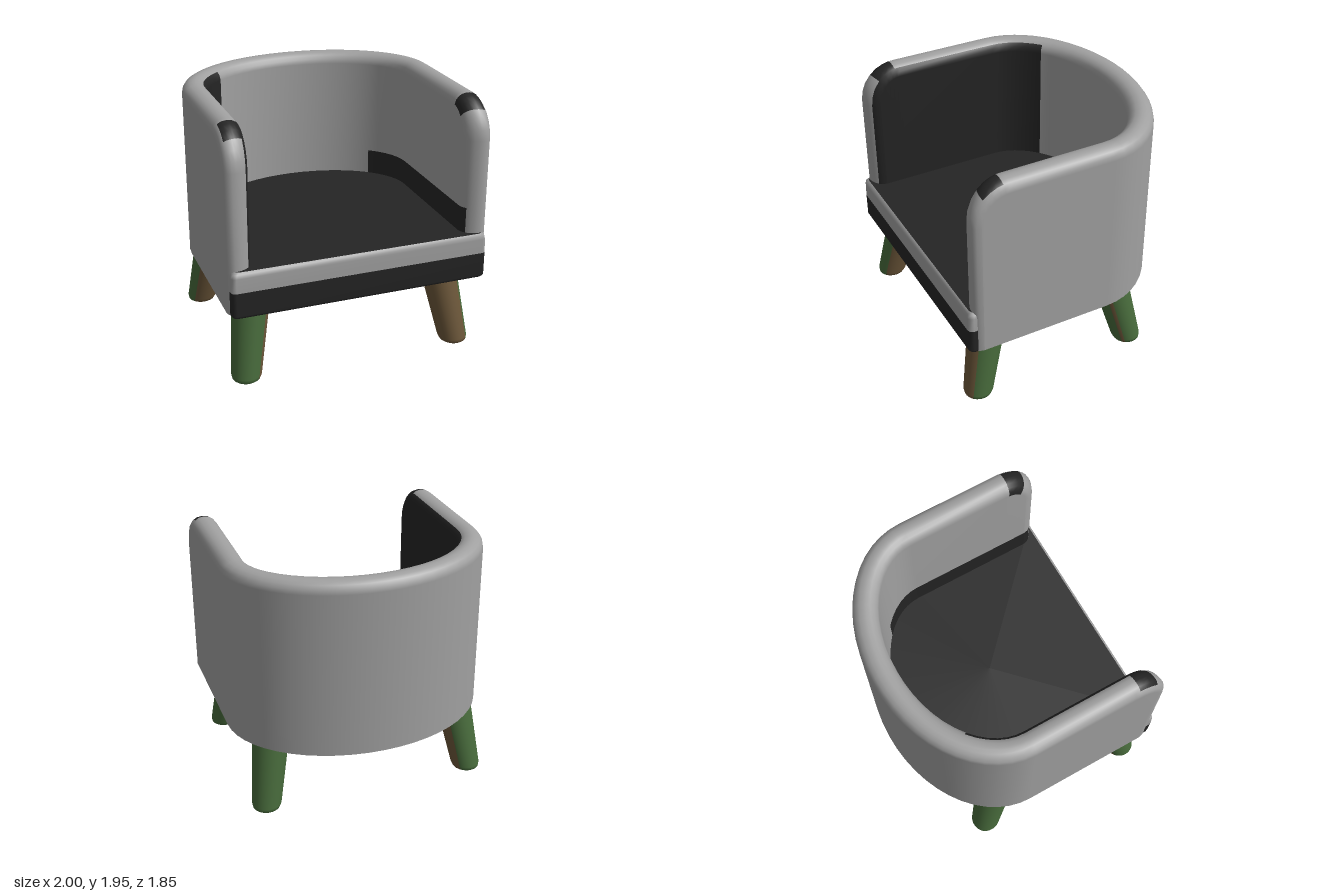
import * as THREE from 'three';

const mat = (name, color, side = THREE.FrontSide) => {
  const m = new THREE.MeshStandardMaterial({ color, side });
  m.name = name;
  return m;
};
const rad = THREE.MathUtils.degToRad;

// Indexed surface over a grid of points; pick(i, j) chooses the material of each cell
function gridSurface(name, rows, materials, pick) {
  const n = rows[0].length, geo = new THREE.BufferGeometry();
  const buckets = materials.map(() => []);
  for (let i = 0; i < rows.length - 1; i++) {
    for (let j = 0; j < n - 1; j++) {
      const a = i * n + j, b = a + n;
      buckets[pick(i, j)].push(a, b, b + 1, a, b + 1, a + 1);
    }
  }
  geo.setAttribute('position', new THREE.Float32BufferAttribute(rows.flat(2), 3));
  geo.setIndex(buckets.flat());
  let start = 0;
  buckets.forEach((b, k) => { geo.addGroup(start, b.length, k); start += b.length; });
  geo.computeVertexNormals();
  const mesh = new THREE.Mesh(geo, materials);
  mesh.name = name;
  return mesh;
}

const BACK_Z = -0.2, BACK_DEPTH = 0.73;   // half-ellipse of the backrest
const FRONT_Z = 0.9, BOTTOM = 0.58, TOP = 1.945;
const THICK = 0.19, EDGE = 0.085, CORNER = 0.3, PATCH_Y = 1.12, STEPS = 26;

// Wall position for a station on its rim, inset from the rim, at depth d from the outer face
function wallPoint(st, inset, d, y) {
  if (st.phi !== undefined) {
    const c = Math.cos(st.phi), s = Math.sin(st.phi);
    const nx = c, nz = -s / BACK_DEPTH, l = Math.hypot(nx, nz);
    return [c - d * nx / l, y ?? st.y - inset, BACK_Z - BACK_DEPTH * s - d * nz / l];
  }
  const s = st.s + st.ix * inset;
  const slant = 0.25 * d * Math.max(0, 1 - s / 0.3);
  return [st.side * (1 - d), y ?? st.y - st.iy * inset, FRONT_Z - s - slant];
}

// Arms and backrest: one wall with a rounded rim running up, over and around
function buildWall(grey, dark) {
  const arm = side => [
    { side, s: 0, y: BOTTOM, ix: 1, iy: 0 },
    { side, s: 0, y: PATCH_Y, ix: 1, iy: 0 },
    ...[90, 75, 60, 44, 30, 18, 8, 0].map(deg => {
      const t = rad(deg), ix = Math.sin(t), iy = Math.cos(t);
      return { side, deg, s: CORNER * (1 - ix), y: TOP - CORNER * (1 - iy), ix, iy };
    }),
  ];
  const stations = [...arm(1)];
  for (let i = 0; i <= STEPS; i++) stations.push({ phi: Math.PI * i / STEPS, y: TOP });
  stations.push(...arm(-1).reverse());

  const quarter = [0, 25, 48, 70, 90].map(a => [EDGE * (1 - Math.cos(rad(a))), EDGE * (1 - Math.sin(rad(a)))]);
  const rim = [...quarter, ...[...quarter].reverse().map(([d, k]) => [THICK - d, k])];
  const rows = stations.map(st => {
    const innerTop = wallPoint(st, EDGE, THICK)[1];
    return [
      wallPoint(st, EDGE, 0, BOTTOM),
      ...rim.map(([d, k]) => wallPoint(st, k, d)),
      wallPoint(st, EDGE, THICK, Math.min(PATCH_Y, innerTop)),
      wallPoint(st, EDGE, THICK, BOTTOM),
    ];
  });

  const limit = rad(180 * 6 / STEPS) + 0.001;
  const pick = (i, j) => {
    const a = stations[i], b = stations[i + 1];
    const inner = j >= 8;                       // inner face and its half of the rim
    // dark caps on the arm corners
    if (a.deg !== undefined && b.deg !== undefined && j >= 3 && j <= 9 &&
        Math.min(a.deg, b.deg) >= 8 && Math.max(a.deg, b.deg) <= 44) return 1;
    const onRight = a.side === -1 || b.side === -1 || (a.phi !== undefined && a.phi >= Math.PI - limit);
    const onLeft = a.side === 1 || (b.phi !== undefined && b.phi <= limit);
    if (inner && onRight) return 1;
    if (inner && onLeft && (j >= 11 || Math.max(a.y, b.y) <= PATCH_Y)) return 1;
    return 0;
  };
  return gridSurface('armsAndBackrest', rows, [grey, dark], pick);
}

// Closed U-shaped ring of the seat block; inset null collapses it to the centre
function seatRing(y, inset) {
  if (inset === null) return Array.from({ length: STEPS + 8 }, () => [0, y, 0]);
  const w = 0.985 - inset, zf = 0.92 - inset, pts = [];
  for (let i = 0; i <= STEPS; i++) {
    const p = Math.PI * i / STEPS;
    pts.push([w * Math.cos(p), y, BACK_Z - (BACK_DEPTH - 0.015 - inset) * Math.sin(p)]);
  }
  const corner = [[0, 0.035], [0.01, 0.01], [0.035, 0]];
  corner.forEach(([x, z]) => pts.push([x - w, y, zf - z]));
  [...corner].reverse().forEach(([x, z]) => pts.push([w - x, y, zf - z]));
  pts.push([...pts[0]]);
  return pts;
}

function seatPart(name, rings, material) {
  const loops = rings.map(([y, inset]) => seatRing(y, inset));
  const rows = loops[0].map((_, i) => loops.map(loop => loop[i]));
  return gridSurface(name, rows, [material], () => 0);
}

// Splayed tapered leg; brown covers the given compass ranges (degrees from +x towards +z)
function buildLeg(name, foot, top, brownRanges, green, brown) {
  const leg = new THREE.Group();
  leg.name = name;
  const profile = [[0, 0], [0.085, 0], [0.103, 0.012], [0.113, 0.04], [0.143, 0.6]]
    .map(([r, y]) => new THREE.Vector2(r, y));
  const shear = new THREE.Matrix4().set(
    1, (top[0] - foot[0]) / 0.56, 0, foot[0],
    0, 1, 0, 0,
    0, (top[1] - foot[1]) / 0.56, 1, foot[1],
    0, 0, 0, 1);
  const sector = (a, b, material, label) => {
    const segs = Math.max(2, Math.ceil((b - a) / 12));
    const geo = new THREE.LatheGeometry(profile, segs, rad(90 - b), rad(b - a));
    const mesh = new THREE.Mesh(geo.applyMatrix4(shear), material);
    mesh.name = label;
    leg.add(mesh);
  };
  brownRanges.forEach(([a, b], i) => {
    const next = i + 1 < brownRanges.length ? brownRanges[i + 1][0] : brownRanges[0][0] + 360;
    sector(a, b, brown, 'brownSide');
    sector(b, next, green, 'greenSide');
  });
  return leg;
}

export function createModel() {
  const grey = mat('grey upholstery', 0xa0a0a0, THREE.DoubleSide);
  const dark = mat('dark upholstery', 0x242424, THREE.DoubleSide);
  const green = mat('green leg', 0x476a3b);
  const brown = mat('brown leg', 0x6b5639);

  const chair = new THREE.Group();
  chair.name = 'tubArmchair';
  chair.add(buildWall(grey, dark));

  // Seat block: dark underside, grey front band, dark top
  chair.add(seatPart('underside', [[0.56, null], [0.56, 0.06]], dark));
  chair.add(seatPart('lowerBand', [[0.56, 0.06], [0.561, 0.03], [0.57, 0.01], [0.59, 0], [0.77, 0]], dark));
  chair.add(seatPart('frontBand', [[0.77, 0], [0.88, 0.002], [0.91, 0.008], [0.922, 0.025]], grey));
  chair.add(seatPart('seatTop', [[0.922, 0.025], [0.922, null]], dark));

  // Legs
  chair.add(buildLeg('frontRightLeg', [-0.865, 0.79], [-0.78, 0.66], [[-130, 50]], green, brown));
  chair.add(buildLeg('frontLeftLeg', [0.81, 0.79], [0.72, 0.66], [[45, 225]], green, brown));
  chair.add(buildLeg('backLeftLeg', [0.81, -0.535], [0.72, -0.405], [[33, 47], [120, 200]], green, brown));
  chair.add(buildLeg('backRightLeg', [-0.865, -0.535], [-0.78, -0.405], [[-45, 135]], green, brown));
  return chair;
}
